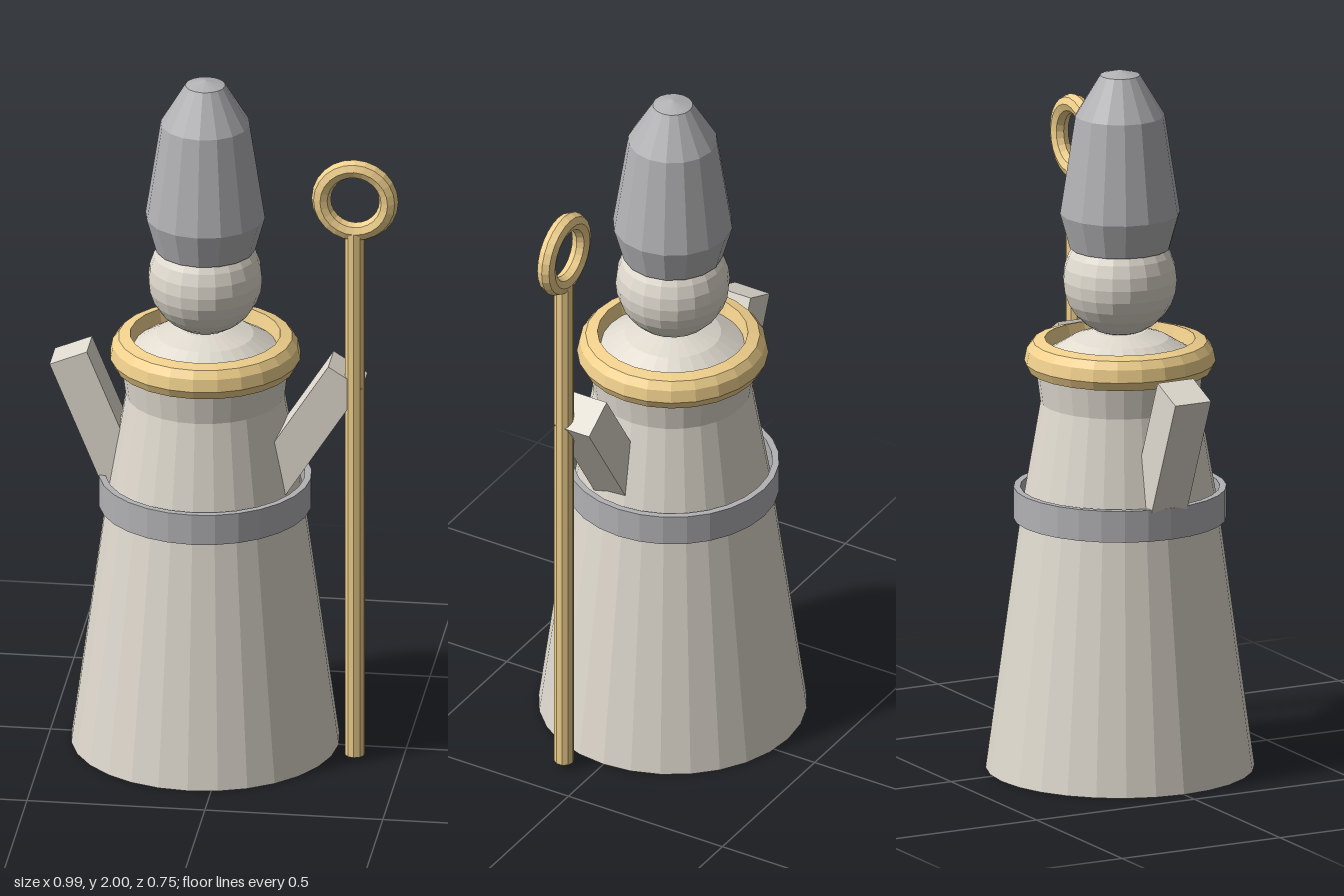
import * as THREE from 'three';

const paint = (color) => new THREE.MeshStandardMaterial({ color, flatShading: true, side: THREE.DoubleSide });

export function createModel() {
  const model = new THREE.Group();
  const cloth = paint(0xe0dacf);
  const grey = paint(0xb2b2b5);
  const gold = paint(0xf0d08c);

  const add = (parent, name, geometry, material, x = 0, y = 0, z = 0) => {
    const mesh = new THREE.Mesh(geometry, material);
    mesh.name = name;
    mesh.position.set(x, y, z);
    parent.add(mesh);
    return mesh;
  };
  const lathe = (points, sides) =>
    new THREE.LatheGeometry(points.map(([r, y]) => new THREE.Vector2(r, y)), sides);

  // The figure stands a little to its right to leave room for the staff
  const figure = new THREE.Group();
  figure.name = 'figure';
  figure.position.x = -0.065;
  model.add(figure);

  // Robe with closed foot, narrow chest and sloping shoulders
  add(figure, 'robe', lathe([
    [0, 0], [0.375, 0], [0.275, 0.74], [0.222, 1.05], [0.235, 1.15],
    [0.2, 1.19], [0.135, 1.23], [0.07, 1.25], [0, 1.25],
  ], 28), cloth);

  // Belt band standing slightly clear of the robe
  add(figure, 'belt', lathe([
    [0.278, 0.715], [0.297, 0.715], [0.297, 0.805], [0.278, 0.805], [0.278, 0.715],
  ], 28), grey);

  // Rounded collar ring
  add(figure, 'collar', lathe([
    [0.215, 1.14], [0.255, 1.14], [0.267, 1.165], [0.26, 1.2], [0.243, 1.222],
    [0.21, 1.23], [0.2, 1.19], [0.215, 1.14],
  ], 24), gold);

  // Head and tall hat
  add(figure, 'head', new THREE.SphereGeometry(0.16, 20, 14), cloth, 0, 1.4);
  add(figure, 'hat', lathe([
    [0, 1.49], [0.14, 1.49], [0.168, 1.59], [0.125, 1.87], [0.056, 1.985], [0, 2],
  ], 16), grey);

  // Arms: slanted blocks rising outward from the waist
  const armShape = new THREE.BoxGeometry(0.113, 0.4, 0.113);
  add(model, 'rightArm', armShape, cloth, -0.367, 0.971, -0.001).rotation.z = 0.39;
  add(model, 'leftArm', armShape, cloth, 0.235, 0.997, 0.055).rotation.z = -0.57;

  // Staff with ring head
  const staff = new THREE.Group();
  staff.name = 'staff';
  staff.position.set(0.368, 0, 0.093);
  model.add(staff);
  add(staff, 'staffPole', new THREE.CylinderGeometry(0.028, 0.028, 1.59, 10), gold, 0, 0.81);
  add(staff, 'staffRing', new THREE.TorusGeometry(0.095, 0.027, 8, 24), gold, 0, 1.7);

  return model;
}
